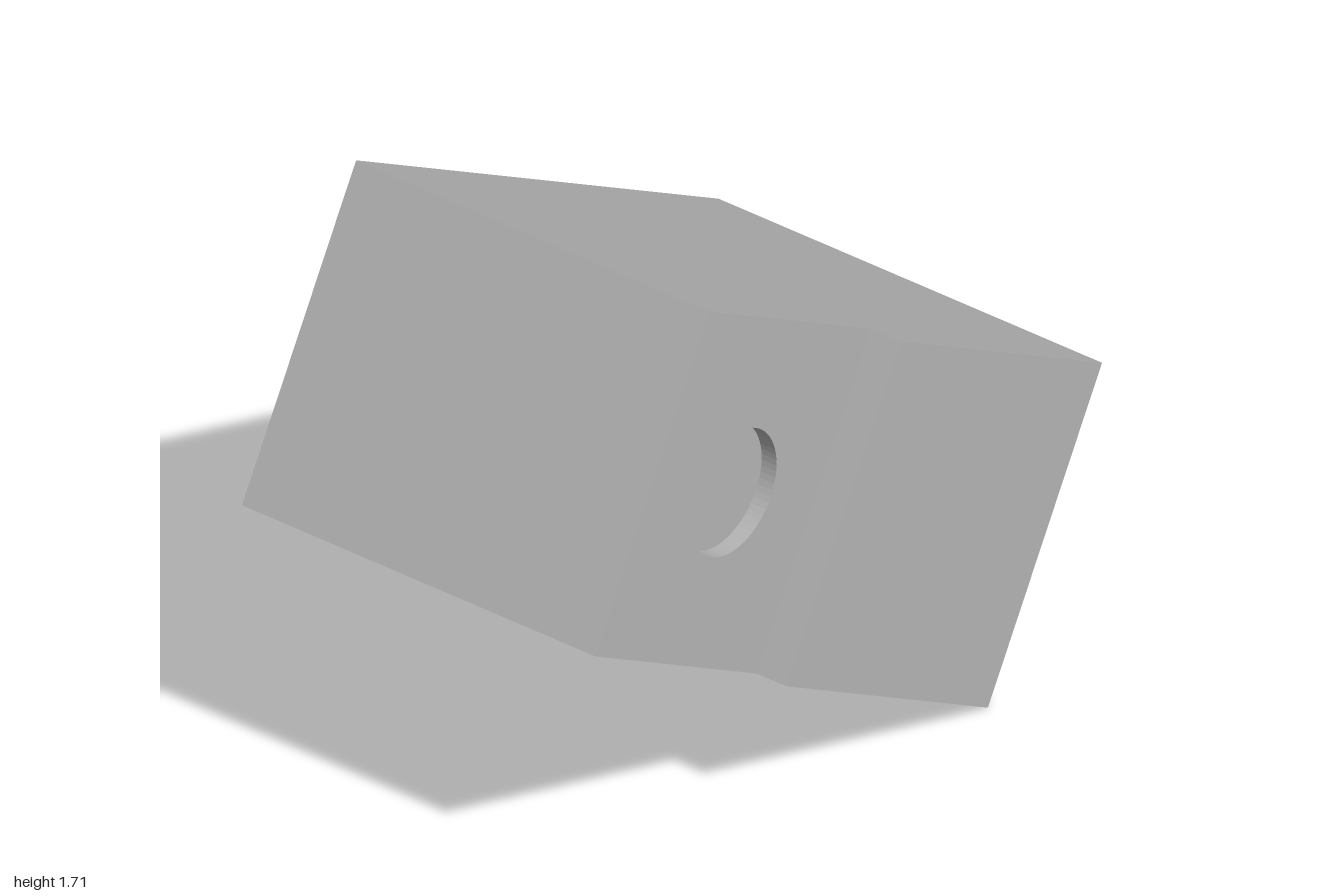
import * as THREE from 'three';

export function createModel() {
  const model = new THREE.Group();
  model.name = 'tiltedHousing';
  const grey = new THREE.MeshStandardMaterial({ color: 0xb4b4b4 });
  grey.name = 'grey';

  // Everything is built upright, then tilted 30 degrees about z
  const L = 0.878, H = 0.479, STEP = -0.097;
  const BACK = -0.59, FRONT = 0.59;
  const PORT = -0.485; // shared centre of the front recess and the rear shaft

  // Extruded rectangle from x0 to x1 and z0 to z1, with round holes [x, y, r]
  function slab(name, x0, x1, y0, y1, z0, z1, holes = []) {
    const shape = new THREE.Shape([
      new THREE.Vector2(x0, y0), new THREE.Vector2(x1, y0),
      new THREE.Vector2(x1, y1), new THREE.Vector2(x0, y1),
    ]);
    for (const [x, y, r] of holes) {
      shape.holes.push(new THREE.Path().absarc(x, y, r, 0, Math.PI * 2, true));
    }
    const geometry = new THREE.ExtrudeGeometry(shape, { depth: z1 - z0, bevelEnabled: false, curveSegments: 32 });
    const mesh = new THREE.Mesh(geometry, grey);
    mesh.position.z = z0;
    mesh.name = name;
    model.add(mesh);
  }

  // Rear layer with four screw holes
  const screws = [];
  for (const x of [-0.16, 0.795]) for (const y of [-0.4, 0.4]) screws.push([x, y, 0.033]);
  slab('rearWall', -L, L, -H, H, BACK, BACK + 0.1, screws);

  // Solid core, recessed front face and raised front block
  slab('housing', -L, L, -H, H, BACK + 0.1, FRONT - 0.05);
  slab('recessedFront', -L, STEP, -H, H, FRONT - 0.05, FRONT, [[PORT, 0, 0.18]]);
  slab('raisedFront', STEP, L, -H, H, FRONT - 0.05, FRONT + 0.1);

  // Rear plate
  slab('rearPlate', 0.098, 0.636, -0.31, 0.31, BACK - 0.1, BACK);

  // Rear shaft
  const shaft = new THREE.Mesh(new THREE.CylinderGeometry(0.058, 0.058, 0.1, 40), grey);
  shaft.rotation.x = Math.PI / 2;
  shaft.position.set(PORT, 0, BACK - 0.05);
  shaft.name = 'rearShaft';
  model.add(shaft);

  model.rotation.z = -Math.PI / 6;
  model.position.y = 0.855;
  const root = new THREE.Group();
  root.name = 'model';
  root.add(model);
  return root;
}
